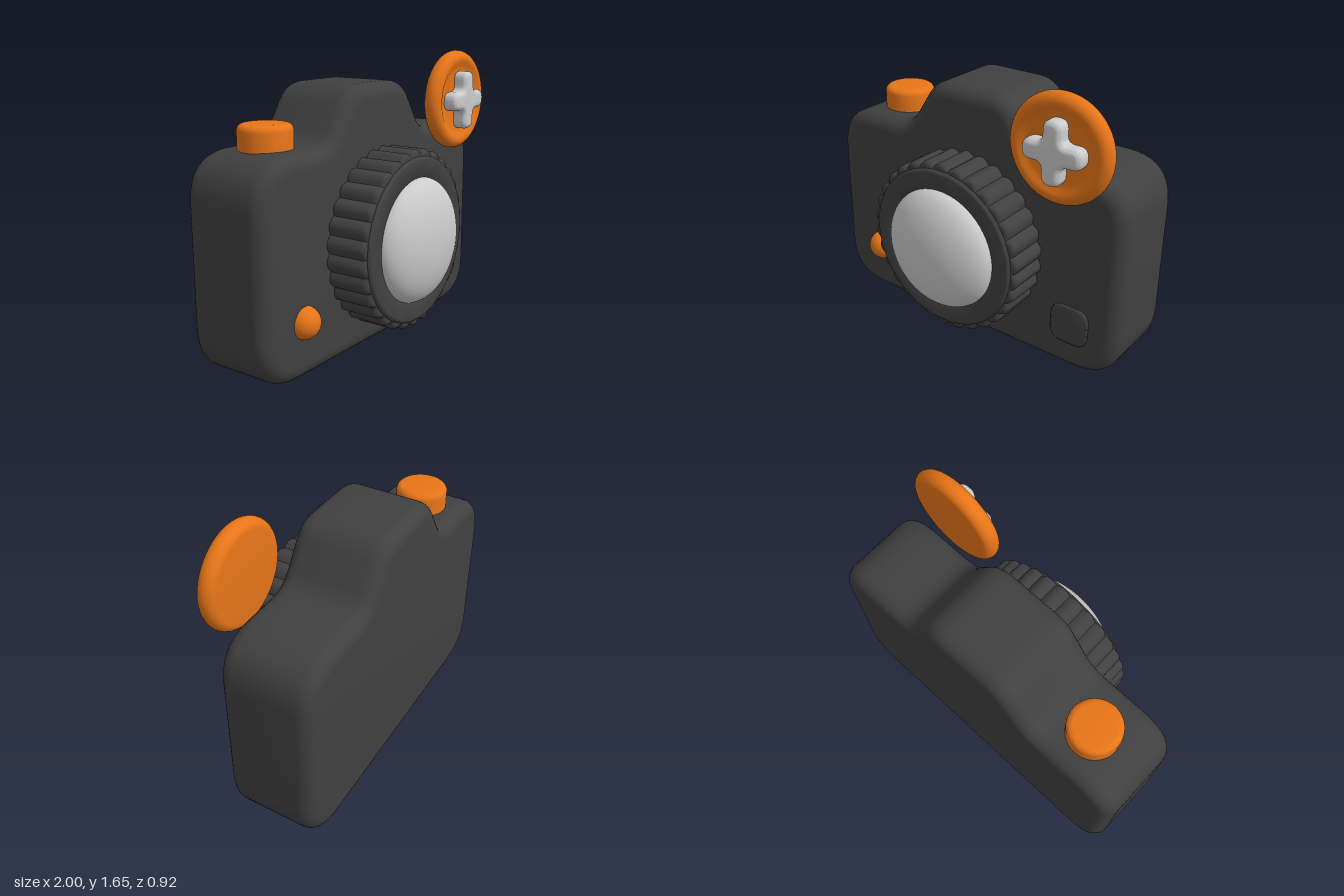
import * as THREE from 'three';
import { toCreasedNormals } from 'three/addons/utils/BufferGeometryUtils.js';

const dark = new THREE.MeshStandardMaterial({ color: 0x404040 });
const orange = new THREE.MeshStandardMaterial({ color: 0xe87518 });
const grey = new THREE.MeshStandardMaterial({ color: 0xcccccc });

// Closed polygon of [x, y, r] corners, each softened over the length r
function softPolygon(corners) {
  const shape = new THREE.Shape();
  const n = corners.length;
  corners.forEach(([x, y, r], i) => {
    const c = new THREE.Vector2(x, y);
    const toward = (k) => {
      const [px, py] = corners[(k + n) % n];
      return new THREE.Vector2(px, py).sub(c).setLength(r).add(c);
    };
    const a = toward(i - 1), b = toward(i + 1);
    if (i === 0) shape.moveTo(a.x, a.y);
    else shape.lineTo(a.x, a.y);
    shape.quadraticCurveTo(x, y, b.x, b.y);
  });
  shape.closePath();
  return shape;
}

// Extrusion between z0 and z1 with rounded edges kept inside the outline
function softExtrude(shape, z0, z1, bevel, crease = 0.7) {
  const geometry = new THREE.ExtrudeGeometry(shape, {
    depth: z1 - z0 - 2 * bevel, bevelThickness: bevel, bevelSize: bevel,
    bevelOffset: -bevel, bevelSegments: 7, curveSegments: 10,
  });
  geometry.translate(0, 0, z0 + bevel);
  return toCreasedNormals(geometry, crease);
}

// Lathe from [radius, height] points
function lathe(points, segments = 64) {
  const profile = points.map(([r, h]) => new THREE.Vector2(r, h));
  return toCreasedNormals(new THREE.LatheGeometry(profile, segments), 0.6);
}

// Quarter-round profile points about (r, h), from angle a0 to a1 in degrees
function arc(r, h, radius, a0, a1, steps = 6) {
  return Array.from({ length: steps + 1 }, (_, i) => {
    const a = THREE.MathUtils.degToRad(a0 + ((a1 - a0) * i) / steps);
    return [r + radius * Math.cos(a), h + radius * Math.sin(a)];
  });
}

export function createModel() {
  const model = new THREE.Group();
  const add = (name, geometry, material, x = 0, y = 0, z = 0) => {
    const mesh = new THREE.Mesh(geometry, material);
    mesh.name = name;
    mesh.position.set(x, y, z);
    model.add(mesh);
    return mesh;
  };

  // Body with raised viewfinder hump
  const half = [[1, 0, 0.28], [1, 1.2, 0.27], [0.445, 1.2, 0.09], [0.25, 1.5, 0.11]];
  const mirrored = half.map(([x, y, r]) => [-x, y, r]).reverse();
  add('body', softExtrude(softPolygon([...half, ...mirrored]), -0.46, 0.07, 0.085), dark);

  // Scalloped grip ring around the lens
  const ridges = 30, steps = 8;
  const scallop = [];
  for (let i = 0; i < ridges * steps; i++) {
    const a = (i / (ridges * steps)) * Math.PI * 2;
    const r = 0.486 + 0.024 * Math.abs(Math.sin((a * ridges) / 2));
    scallop.push(new THREE.Vector2(r * Math.cos(a), r * Math.sin(a)));
  }
  add('lensGrip', softExtrude(new THREE.Shape(scallop), 0, 0.305, 0.025), dark, 0, 0.64);

  // Smooth front ring and domed glass
  const ring = add('lensRing', lathe([
    [0.47, 0.2], ...arc(0.45, 0.3, 0.022, 0, 90), [0.36, 0.315], [0.34, 0.3], [0, 0.3],
  ]), dark, 0, 0.64);
  ring.rotation.x = Math.PI / 2;
  const glass = add('lensGlass', new THREE.SphereGeometry(0.355, 48, 32), grey, 0, 0.64, 0.305);
  glass.scale.z = 0.155 / 0.355;

  // Round dial with a shallow dished front
  const dial = add('dial', lathe([
    [0, -0.052], ...arc(0.243, 0, 0.052, -90, 90, 14),
    [0.225, 0.047], [0.205, 0.036], [0.18, 0.03], [0, 0.03],
  ]), orange, 0.65, 1.355, 0.152);
  dial.rotation.x = Math.PI / 2;

  // Plus-shaped knob on the dial
  const w = 0.055, l = 0.172;
  const cross = [];
  for (let i = 0; i < 4; i++) {
    const c = Math.round(Math.cos((i * Math.PI) / 2)), s = Math.round(Math.sin((i * Math.PI) / 2));
    for (const [x, y, r] of [[l, -w, 0.052], [l, w, 0.052], [w, w, 0.04]]) {
      cross.push([x * c - y * s, x * s + y * c, r]);
    }
  }
  add('dialCross', softExtrude(softPolygon(cross), 0.16, 0.263, 0.032), grey, 0.65, 1.355);

  // Shutter button on top
  add('shutterButton', lathe([
    [0, 1.15], [0.147, 1.15], ...arc(0.112, 1.295, 0.035, 0, 90), [0, 1.33],
  ], 48), orange, -0.655, 0, -0.205);

  // Small ball button and square pad on the front
  add('ballButton', new THREE.SphereGeometry(0.09, 32, 24), orange, -0.69, 0.32, 0.06);
  const s = 0.117;
  const pad = softPolygon([[s, -s, 0.08], [s, s, 0.08], [-s, s, 0.08], [-s, -s, 0.08]]);
  add('frontPad', softExtrude(pad, 0.04, 0.086, 0.01), dark, 0.708, 0.298);

  return model;
}
